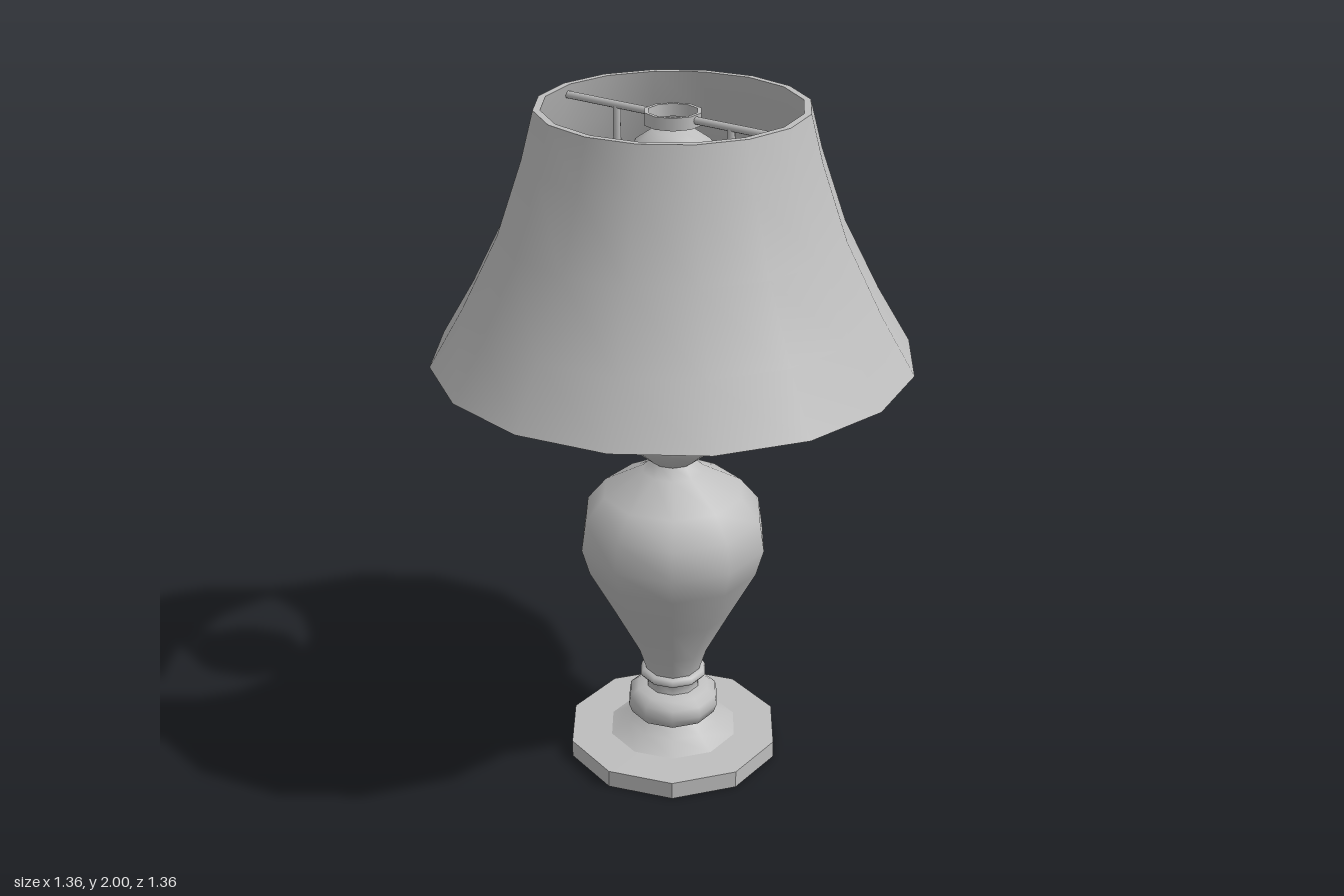
import * as THREE from 'three';

const grey = new THREE.MeshStandardMaterial({ color: 0xbebebe, side: THREE.DoubleSide });
grey.name = 'grey';

export function createModel() {
  const lamp = new THREE.Group();
  lamp.name = 'tableLamp';

  const add = (name, geometry, parent = lamp) => {
    const mesh = new THREE.Mesh(geometry, grey);
    mesh.name = name;
    parent.add(mesh);
    return mesh;
  };
  // Turned part from [radius, height] pairs, listed bottom to top
  const turned = (name, profile, sides = 10, parent = lamp) =>
    add(name, new THREE.LatheGeometry(profile.map(([r, y]) => new THREE.Vector2(r, y)), sides), parent);
  // Round bar between two points of the x-y plane
  const rod = (name, a, b, radius, parent = lamp) => {
    const from = new THREE.Vector3(...a, 0), to = new THREE.Vector3(...b, 0);
    const dir = to.clone().sub(from);
    const mesh = add(name, new THREE.CylinderGeometry(radius, radius, dir.length(), 8), parent);
    mesh.position.copy(from).add(to).multiplyScalar(0.5);
    mesh.quaternion.setFromUnitVectors(new THREE.Vector3(0, 1, 0), dir.normalize());
  };

  // Hollow ten-sided foot, open underneath
  const rim = turned('footRim', [[0.32, 0], [0.32, 0.053]]);
  rim.geometry = rim.geometry.toNonIndexed();
  rim.geometry.computeVertexNormals();
  turned('footTop', [[0.32, 0.053], [0.195, 0.055]]);
  turned('footFlare', [[0.195, 0.055], [0.14, 0.085], [0.1, 0.118]]);

  // Collar and small ring above the foot
  turned('collar', [[0.1, 0.118], [0.13, 0.122], [0.14, 0.15], [0.135, 0.18], [0.11, 0.198], [0.08, 0.205]]);
  turned('collarNeck', [[0.08, 0.205], [0.076, 0.235], [0.095, 0.24], [0.102, 0.25], [0.095, 0.262], [0.083, 0.266]]);

  // Vase-shaped body
  turned('body', [
    [0.083, 0.266], [0.105, 0.335], [0.175, 0.47], [0.255, 0.62], [0.278, 0.7],
    [0.265, 0.79], [0.208, 0.86], [0.09, 0.925], [0.062, 0.955],
  ]);

  // Bulge on top of the body
  turned('upperBulge', [
    [0.062, 0.955], [0.09, 0.975], [0.152, 1.03], [0.155, 1.085], [0.108, 1.12], [0.035, 1.145], [0.025, 1.15],
  ]);

  // Beaded stem and plain rod up to the bulb
  turned('stemBeads', [
    [0.025, 1.15], [0.039, 1.165], [0.039, 1.185], [0.016, 1.203], [0.039, 1.23], [0.02, 1.265], [0.019, 1.28],
  ]);
  rod('stemRod', [0, 1.27], [0, 1.65], 0.019);

  // Round bulb
  const bulb = [];
  for (let i = 0; i <= 8; i++) {
    const a = -Math.PI / 2 + (i / 8) * Math.PI;
    bulb.push([Math.max(0.15 * Math.cos(a), 0), 1.79 + 0.155 * Math.sin(a)]);
  }
  turned('bulb', bulb);

  // Harp, mirrored around the bulb, with cross bars to the shade
  const harp = new THREE.Group();
  harp.name = 'harp';
  lamp.add(harp);
  for (const s of [-1, 1]) {
    const path = [[0, 1.62], [0.12, 1.58], [0.19, 1.64], [0.19, 1.97]];
    for (let i = 0; i < path.length - 1; i++) {
      rod('harpWire', [s * path[i][0], path[i][1]], [s * path[i + 1][0], path[i + 1][1]], 0.011, harp);
    }
    rod('crossBar', [s * 0.072, 1.97], [s * 0.362, 1.97], 0.011, harp);
  }

  // Flat ring joining the cross bars
  const ring = new THREE.Group();
  ring.name = 'topRing';
  lamp.add(ring);
  const ringCorners = [[0.069, 1.985], [0.069, 1.95], [0.08, 1.95], [0.08, 1.985], [0.069, 1.985]];
  for (let i = 0; i < 4; i++) turned('ringFace', [ringCorners[i], ringCorners[i + 1]], 10, ring);

  // Flared sixteen-sided shade with a thin wall
  const shade = new THREE.Group();
  shade.name = 'shade';
  lamp.add(shade);
  const outer = [[0.682, 1.285], [0.585, 1.45], [0.482, 1.655], [0.41, 1.865], [0.375, 2]];
  const inner = outer.map(([r, y]) => [r - 0.02, y]);
  turned('shadeOuter', outer, 16, shade);
  turned('shadeInner', [...inner].reverse(), 16, shade);
  turned('shadeTopEdge', [outer[4], inner[4]], 16, shade);
  turned('shadeBottomEdge', [inner[0], outer[0]], 16, shade);

  return lamp;
}
